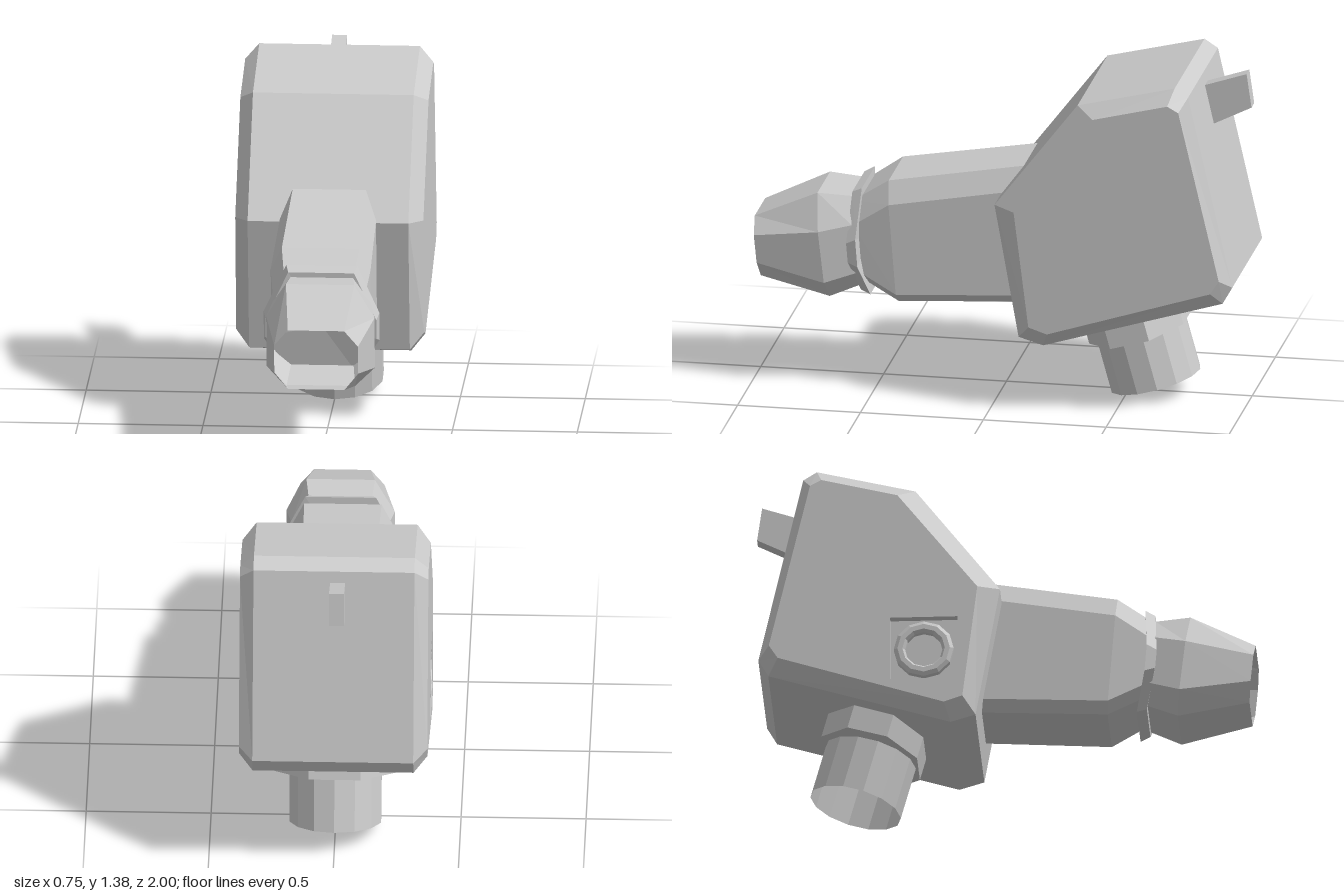
import * as THREE from 'three';

const material = new THREE.MeshStandardMaterial({ color: 0xcccccc, flatShading: true, side: THREE.DoubleSide });

function mesh(name, geometry) {
  const m = new THREE.Mesh(geometry, material);
  m.name = name;
  return m;
}

// Faceted skin through rings of equal point count, optionally closed at both ends
function loft(rings, capStart, capEnd) {
  const pos = [];
  const tri = (...pts) => pts.forEach((p) => pos.push(...p));
  const n = rings[0].length;
  for (let i = 0; i < rings.length - 1; i++) {
    for (let j = 0; j < n; j++) {
      const k = (j + 1) % n;
      const a = rings[i][j], b = rings[i][k], c = rings[i + 1][k], d = rings[i + 1][j];
      tri(a, b, c);
      tri(a, c, d);
    }
  }
  const cap = (ring, flip) => {
    const mid = [0, 1, 2].map((k) => ring.reduce((s, p) => s + p[k], 0) / n);
    ring.forEach((p, j) => {
      const q = ring[(j + 1) % n];
      if (flip) tri(mid, q, p);
      else tri(mid, p, q);
    });
  };
  if (capStart) cap(rings[0], true);
  if (capEnd) cap(rings[rings.length - 1], false);
  const g = new THREE.BufferGeometry();
  g.setAttribute('position', new THREE.Float32BufferAttribute(pos, 3));
  g.computeVertexNormals();
  return g;
}

// Octagonal section: half width w, top t at depth zt, bottom b at depth zb, corner cuts cx / ct / cb
function octagon({ w, x = 0, t, zt, b, zb, cx, ct, cb, push = 0 }) {
  return [[w, b + cb], [w, t - ct], [w - cx, t], [cx - w, t], [-w, t - ct], [-w, b + cb], [cx - w, b], [w - cx, b]]
    .map(([px, y]) => [
      px + x, y,
      zb + (zt - zb) * (y - b) / (t - b) + (Math.abs(px) === w ? push : 0),
    ]);
}

// Housing profiles as [z, y]
const outer = [[-0.012, 0.85], [-0.35, 1.29], [-0.745, 1.385], [-0.8, 1.35], [-0.98, 0.56], [-0.94, 0.49], [-0.21, 0.27], [-0.11, 0.3]];
const inner = [[-0.1, 0.84], [-0.42, 1.25], [-0.725, 1.325], [-0.77, 1.3], [-0.935, 0.6], [-0.9, 0.545], [-0.235, 0.335], [-0.16, 0.36]];
const HALF = 0.377;
const PORT = { z: -0.315, y: 0.575, size: 0.135, depth: 0.035 };

function createHousing() {
  const g = new THREE.Group();
  g.name = 'housing';
  const at = (profile, x) => profile.map(([z, y]) => [x, y, z]);
  g.add(mesh('housingShell', loft([at(inner, HALF), at(outer, 0.322), at(outer, -0.322), at(inner, -HALF)])));

  const leftShape = new THREE.Shape(inner.map(([z, y]) => new THREE.Vector2(-z, y)));
  const left = mesh('leftPanel', new THREE.ShapeGeometry(leftShape).rotateY(Math.PI / 2));
  left.position.x = HALF;

  // Right panel has a square recess for the side port
  const s = PORT.size;
  const square = [[-s, -s], [s, -s], [s, s], [-s, s]].map(([z, y]) => [PORT.z + z, PORT.y + y]);
  const rightShape = new THREE.Shape(inner.map(([z, y]) => new THREE.Vector2(z, y)));
  rightShape.holes.push(new THREE.Path(square.map(([z, y]) => new THREE.Vector2(z, y))));
  const right = mesh('rightPanel', new THREE.ShapeGeometry(rightShape).rotateY(-Math.PI / 2));
  right.position.x = -HALF;
  const floorX = -HALF + PORT.depth;
  g.add(left, right, mesh('portRecess', loft([at(square, -HALF), at(square, floorX)], false, true)));

  // Ring seated in the recess
  const profile = [[0.075, 0], [0.12, 0], [0.12, 0.025], [0.105, 0.034], [0.085, 0.034], [0.075, 0.02], [0.075, 0]];
  const ring = mesh('portRing', new THREE.LatheGeometry(profile.map((p) => new THREE.Vector2(...p)), 12));
  ring.rotation.z = Math.PI / 2;
  ring.position.set(floorX, PORT.y, PORT.z);
  g.add(ring);
  return g;
}

function createBarrel() {
  const g = new THREE.Group();
  g.name = 'barrel';
  const arm = { cx: 0.045, ct: 0.09, cb: 0.04 };
  g.add(mesh('arm', loft([
    octagon({ ...arm, w: 0.19, t: 0.98, zt: -0.2, b: 0.395, zb: -0.2 }),
    octagon({ ...arm, w: 0.2, t: 0.87, zt: 0.45, b: 0.365, zb: 0.41 }),
    octagon({ ...arm, w: 0.18, t: 0.77, zt: 0.6, b: 0.45, zb: 0.57 }),
  ], true, true)));

  const ring = { w: 0.232, x: 0.012, cx: 0.09, ct: 0.19, cb: 0.14, push: 0.025 };
  g.add(mesh('collar', loft([
    octagon({ ...ring, t: 0.83, zt: 0.56, b: 0.385, zb: 0.525 }),
    octagon({ ...ring, w: 0.222, t: 0.81, zt: 0.6, b: 0.4, zb: 0.565 }),
  ], true, true)));

  // Hollow tip, open at the front
  g.add(mesh('tip', loft([
    octagon({ w: 0.195, x: 0.015, t: 0.79, zt: 0.6, b: 0.42, zb: 0.565, cx: 0.07, ct: 0.1, cb: 0.07 }),
    octagon({ w: 0.217, x: 0.017, t: 0.8, zt: 0.74, b: 0.368, zb: 0.69, cx: 0.08, ct: 0.14, cb: 0.08 }),
    octagon({ w: 0.168, x: 0.017, t: 0.68, zt: 1, b: 0.43, zb: 0.975, cx: 0.055, ct: 0.065, cb: 0.07 }),
  ])));
  return g;
}

function createSpout() {
  const g = new THREE.Group();
  g.name = 'bottomSpout';
  const flange = mesh('spoutFlange', new THREE.CylinderGeometry(1, 1, 0.12, 8).rotateY(Math.PI / 8));
  flange.scale.set(0.27, 1, 0.215);
  flange.position.y = -0.025;
  const pipe = mesh('spoutPipe', new THREE.CylinderGeometry(0.188, 0.188, 0.3, 14, 1, true));
  pipe.position.y = -0.16;
  g.add(flange, pipe);
  g.position.set(0, 0.35, -0.525);
  g.rotation.x = 0.27;
  return g;
}

function createRearTab() {
  const side = [[-0.77, 1.29], [-0.98, 1.36], [-1, 1.22], [-0.8, 1.12]];
  const at = (x) => side.map(([z, y]) => [x, y, z]);
  return mesh('rearTab', loft([at(0.015), at(-0.045)], true, true));
}

export function createModel() {
  const model = new THREE.Group();
  model.name = 'model';
  model.add(createHousing(), createBarrel(), createSpout(), createRearTab());
  return model;
}
